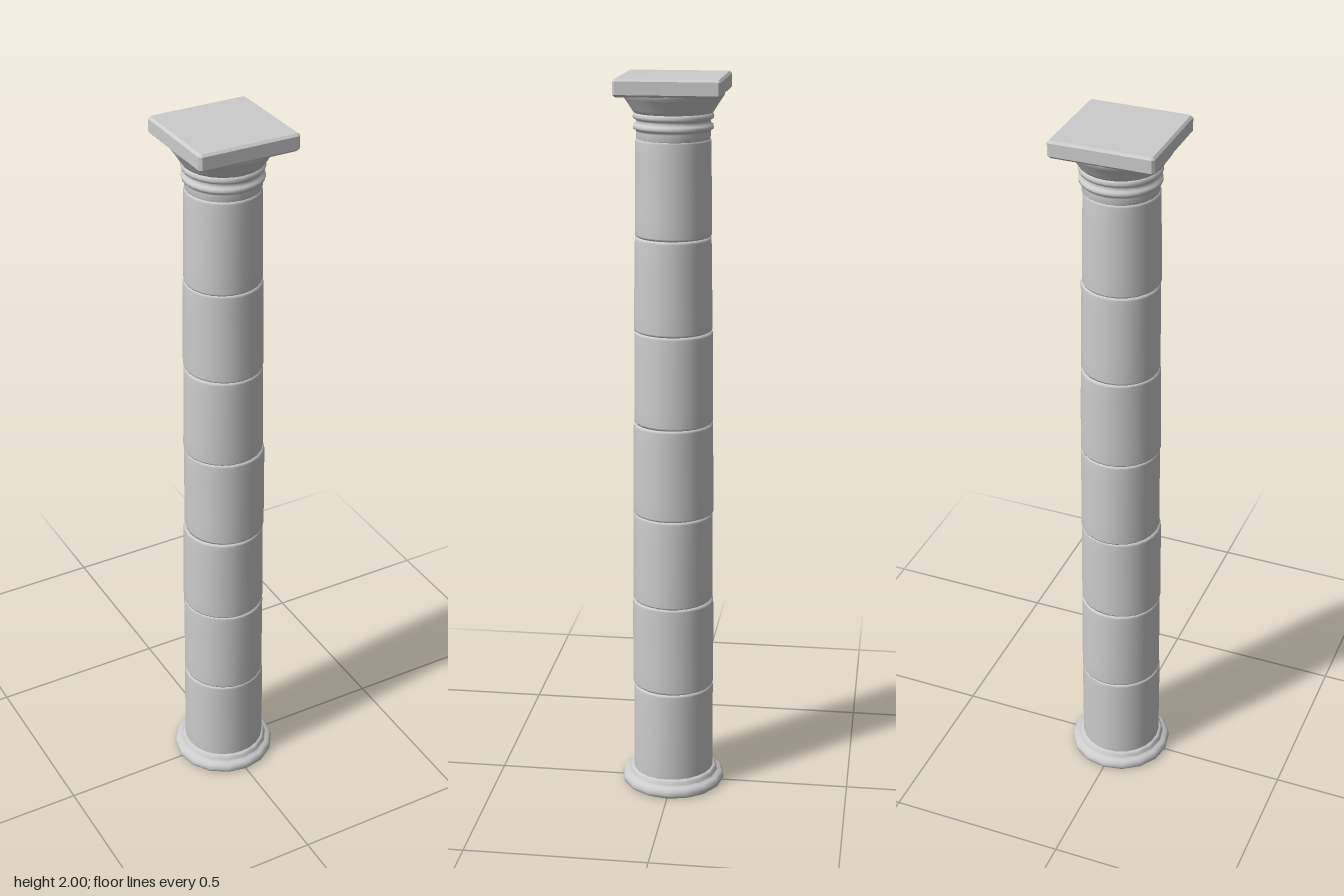
import * as THREE from 'three';
import { mergeVertices } from 'three/addons/utils/BufferGeometryUtils.js';

const stone = new THREE.MeshStandardMaterial({ color: 0xcccccc, side: THREE.DoubleSide });
stone.name = 'pale stone';

// Revolve a profile of [radius, height] pairs
function lathe(profile, segments) {
  return new THREE.LatheGeometry(profile.map(([r, y]) => new THREE.Vector2(r, y)), segments);
}

function add(group, name, geometry) {
  const mesh = new THREE.Mesh(geometry, stone);
  mesh.name = name;
  group.add(mesh);
  return mesh;
}

// Shaft radius: slight swelling low down, tapering to the neck
function shaftRadius(y) {
  const t = y / 1.84;
  return 0.114 - 0.002 * t - 0.0125 * t * t;
}

// One worn stone drum with softened rims
function drumGeometry(y0, y1, index) {
  const profile = [[shaftRadius(y0) - 0.006, y0], [shaftRadius(y0) - 0.002, y0 + 0.002]];
  for (let i = 0; i <= 6; i++) {
    const y = THREE.MathUtils.lerp(y0 + 0.007, y1 - 0.007, i / 6);
    profile.push([shaftRadius(y), y]);
  }
  profile.push([shaftRadius(y1) - 0.002, y1 - 0.002], [shaftRadius(y1) - 0.006, y1]);
  let g = lathe(profile, 24);
  const p = g.attributes.position;
  for (let i = 0; i < p.count; i++) {
    const a = Math.atan2(p.getZ(i), p.getX(i));
    const wear = 1 + 0.008 * Math.sin(2 * a + index * 2.1 + p.getY(i) * 6)
      + 0.005 * Math.sin(3 * a + index * 4.3);
    p.setX(i, p.getX(i) * wear);
    p.setZ(i, p.getZ(i) * wear);
  }
  g.deleteAttribute('normal');
  g.deleteAttribute('uv');
  g = mergeVertices(g, 1e-5);
  g.computeVertexNormals();
  return g;
}

export function createModel() {
  const column = new THREE.Group();
  column.name = 'column';

  // Moulded foot, open underneath
  add(column, 'baseMoulding', lathe([
    [0.114, 0.012], [0.126, 0.006], [0.128, 0], [0.139, 0], [0.144, 0.004], [0.146, 0.012],
    [0.144, 0.021], [0.138, 0.027], [0.129, 0.03], [0.125, 0.033], [0.124, 0.041],
    [0.119, 0.045], [0.11, 0.047],
  ], 16));

  // Stacked drums
  const joints = [0.04, 0.303, 0.558, 0.812, 1.07, 1.325, 1.58, 1.838];
  const shifts = [[0, 0], [0, 0], [-0.001, 0.001], [0.002, 0], [0, -0.001], [0, 0], [-0.002, 0.001]];
  shifts.forEach(([x, z], i) => {
    add(column, 'drum' + (i + 1), drumGeometry(joints[i], joints[i + 1], i)).position.set(x, 0, z);
  });

  // Neck with its rings
  add(column, 'neck', lathe([
    [0.094, 1.835], [0.098, 1.838], [0.098, 1.855], [0.099, 1.86], [0.105, 1.863],
    [0.106, 1.868], [0.105, 1.874], [0.099, 1.877], [0.098, 1.884], [0.1, 1.888],
    [0.105, 1.89], [0.107, 1.896], [0.105, 1.903], [0.1, 1.906],
  ], 24));

  // Flaring cushion under the slab
  add(column, 'echinus', lathe([
    [0.1, 1.903], [0.105, 1.907], [0.111, 1.916], [0.119, 1.929], [0.128, 1.942],
    [0.134, 1.951], [0.135, 1.958], [0.133, 1.962],
  ], 24));

  // Square slab with bevelled edges
  const h = 0.133, c = 0.003;
  const outline = new THREE.Shape([
    [h, -h + c], [h, h - c], [h - c, h], [-h + c, h],
    [-h, h - c], [-h, -h + c], [-h + c, -h], [h - c, -h],
  ].map(([x, y]) => new THREE.Vector2(x, y)));
  const slab = new THREE.ExtrudeGeometry(outline, {
    depth: 0.034, bevelEnabled: true, bevelThickness: 0.006, bevelSize: 0.006, bevelSegments: 1,
  });
  slab.rotateX(-Math.PI / 2);
  add(column, 'abacus', slab).position.y = 1.96;

  return column;
}
